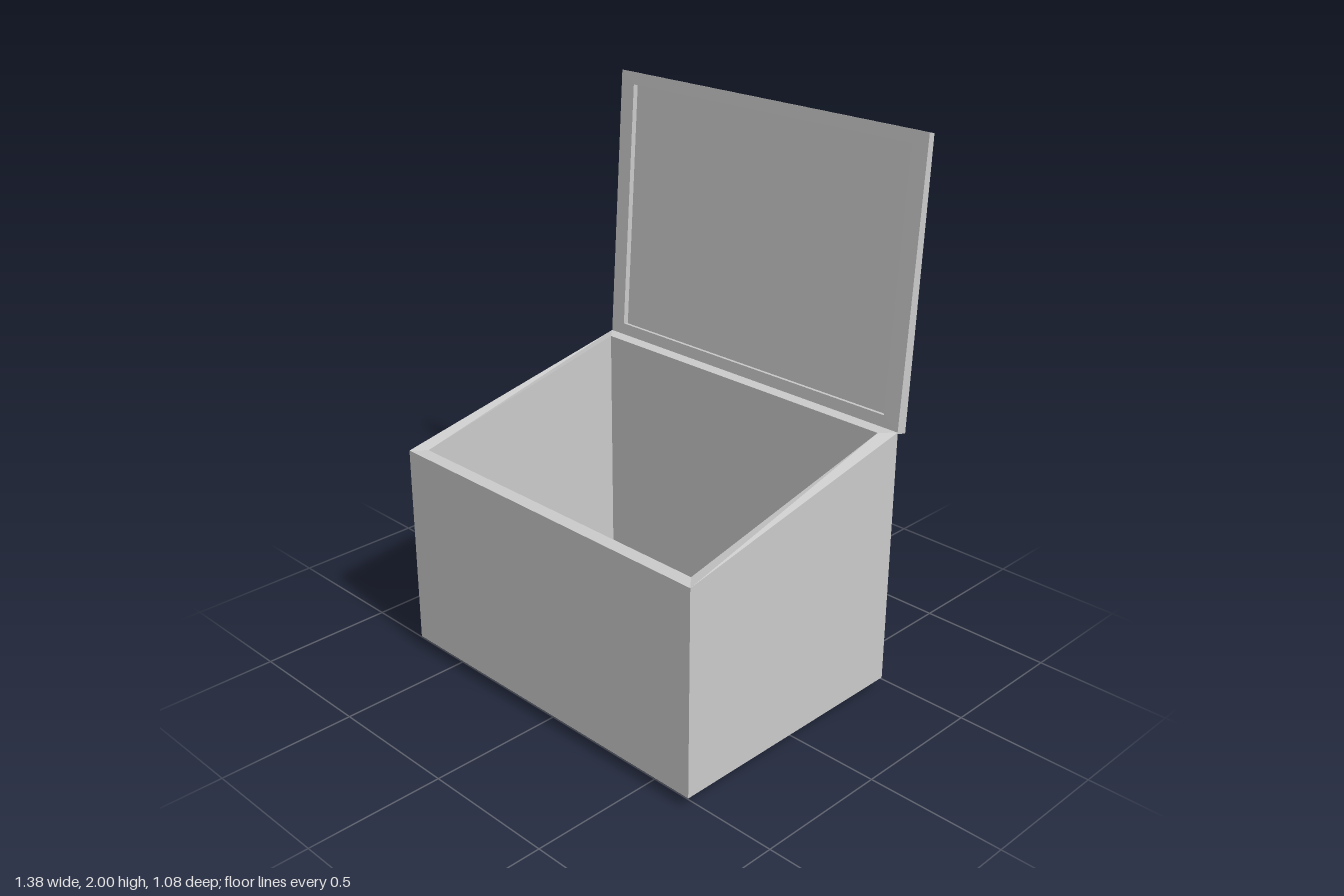
import * as THREE from 'three';

const material = new THREE.MeshStandardMaterial({ color: 0xcccccc, flatShading: true });

// Solid skinned through a series of four-cornered loops, capped at both ends.
function loft(name, loops) {
  const positions = [];
  const quad = (a, b, c, d) => positions.push(...a, ...b, ...c, ...a, ...c, ...d);
  for (let i = 0; i < loops.length - 1; i++) {
    for (let j = 0; j < 4; j++) {
      const k = (j + 1) % 4;
      quad(loops[i][j], loops[i][k], loops[i + 1][k], loops[i + 1][j]);
    }
  }
  const [a, b, c, d] = loops[0];
  quad(d, c, b, a);
  quad(...loops[loops.length - 1]);
  const geometry = new THREE.BufferGeometry();
  geometry.setAttribute('position', new THREE.Float32BufferAttribute(positions, 3));
  geometry.computeVertexNormals();
  const mesh = new THREE.Mesh(geometry, material);
  mesh.name = name;
  return mesh;
}

// Horizontal loop, with separate heights at the front and back.
const level = (x, front, back, yFront, yBack = yFront) => [
  [x, yFront, front], [x, yBack, back], [-x, yBack, back], [-x, yFront, front],
];

// Upright loop, with [y, z] given for its lower and upper edges.
const upright = (x, [y0, z0], [y1, z1]) => [
  [-x, y0, z0], [x, y0, z0], [x, y1, z1], [-x, y1, z1],
];

export function createModel() {
  const group = new THREE.Group();
  group.name = 'storageBox';

  // Open box with a sloping rim
  group.add(loft('box', [
    level(0.69, 0.54, -0.45, 0.045),
    level(0.69, 0.54, -0.45, 0.805, 1.0),
    level(0.645, 0.49, -0.4, 0.805, 1.0),
    level(0.645, 0.49, -0.4, 0.095),
  ]));

  // Tapered lid standing open, with a shallow recess on its inner face
  group.add(loft('lid', [
    upright(0.69, [0.983, -0.492], [1.993, -0.54]),
    upright(0.69, [0.995, -0.449], [2.0, -0.515]),
    upright(0.627, [1.043, -0.452], [1.955, -0.512]),
    upright(0.627, [1.038, -0.473], [1.95, -0.532]),
  ]));

  // Four square feet
  const footGeometry = new THREE.BoxGeometry(0.077, 0.045, 0.077);
  for (const x of [-0.6, 0.6]) {
    for (const z of [-0.387, 0.445]) {
      const foot = new THREE.Mesh(footGeometry, material);
      foot.name = 'foot';
      foot.position.set(x, 0.0225, z);
      group.add(foot);
    }
  }
  return group;
}
